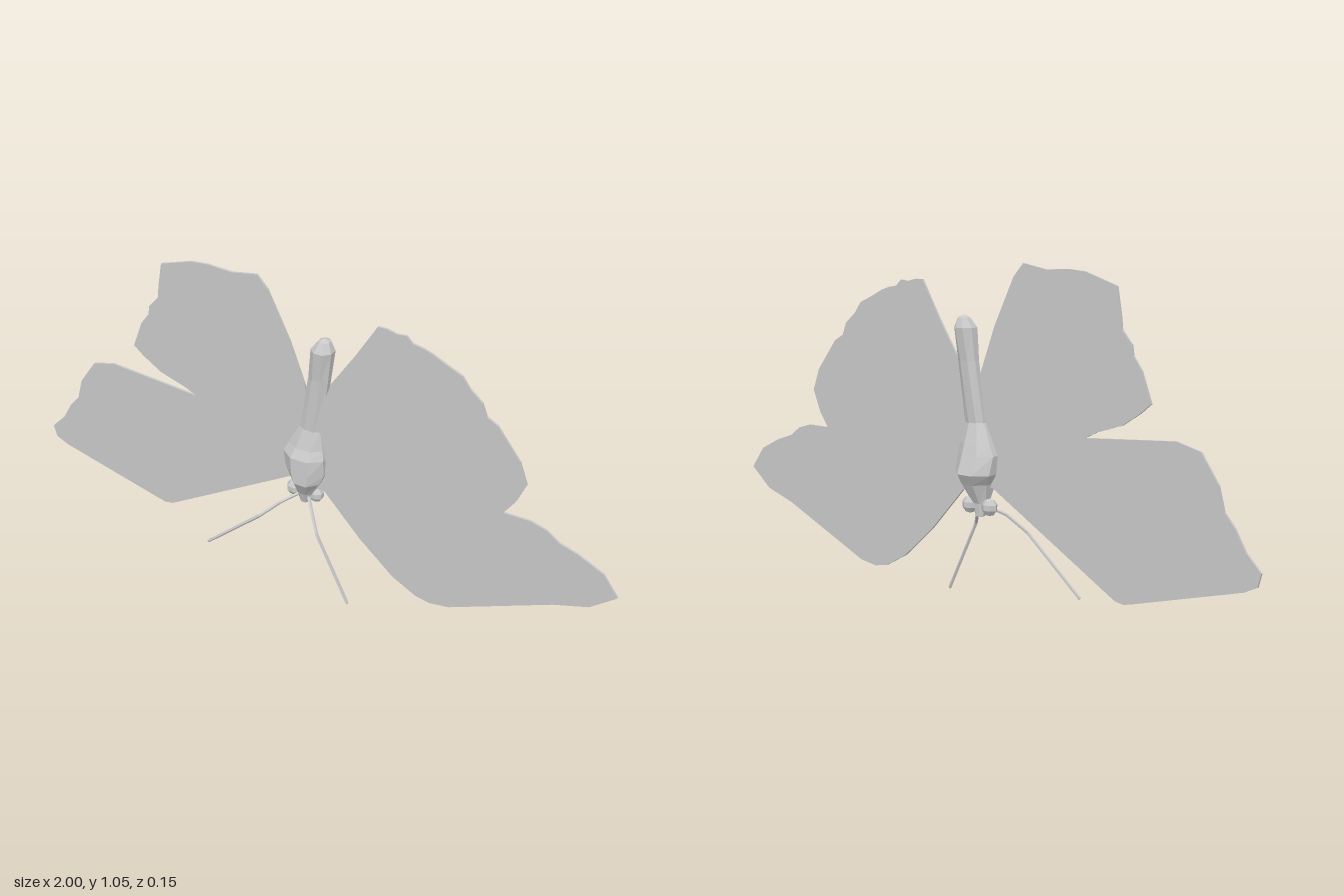
import * as THREE from 'three';

const grey = new THREE.MeshStandardMaterial({ color: 0xc9c9c9, flatShading: true });
grey.name = 'lightGrey';

// Wing outlines as [x, y], starting at the body
const rightWing = [
  [-0.02, 0.35], [-0.07, 0.37], [-0.53, 0.10], [-0.56, 0.095], [-0.60, 0.105], [-0.95, 0.20], [-0.99, 0.22],
  [-1.0, 0.26], [-0.95, 0.31], [-0.915, 0.37], [-0.88, 0.41], [-0.86, 0.48], [-0.80, 0.565],
  [-0.72, 0.585], [-0.41, 0.56], [-0.45, 0.58], [-0.54, 0.61], [-0.60, 0.65], [-0.635, 0.68],
  [-0.60, 0.77], [-0.57, 0.81], [-0.565, 0.84], [-0.53, 0.88], [-0.525, 0.92], [-0.51, 1.0],
  [-0.40, 1.035], [-0.34, 1.04], [-0.26, 1.035], [-0.175, 1.05], [-0.14, 1.01], [-0.07, 0.86],
  [-0.02, 0.72], [0.0, 0.6],
];
const leftWing = [
  [-0.02, 0.35], [0.045, 0.35], [0.17, 0.21], [0.285, 0.105], [0.365, 0.06], [0.415, 0.05], [0.48, 0.06],
  [0.81, 0.205], [0.92, 0.24], [1.0, 0.305], [0.95, 0.375], [0.87, 0.415], [0.81, 0.435], [0.77, 0.465],
  [0.72, 0.48], [0.635, 0.48], [0.67, 0.53], [0.70, 0.60], [0.675, 0.67], [0.615, 0.75],
  [0.60, 0.77], [0.565, 0.79], [0.55, 0.83], [0.51, 0.865], [0.485, 0.90], [0.43, 0.925],
  [0.39, 0.945], [0.36, 0.955], [0.33, 0.96], [0.31, 0.98], [0.28, 0.977], [0.25, 0.985], [0.22, 0.985],
  [0.15, 0.87], [0.07, 0.75], [0.045, 0.68], [0.0, 0.6],
];

// Thin plate, leaning forward slightly towards the top
function wing(outline) {
  const shape = new THREE.Shape(outline.map(([x, y]) => new THREE.Vector2(x, y)));
  const geo = new THREE.ExtrudeGeometry(shape, { depth: 0.007, bevelEnabled: false });
  const p = geo.attributes.position;
  for (let i = 0; i < p.count; i++) p.setZ(i, p.getZ(i) - 0.0115 + 0.018 * p.getY(i));
  geo.computeVertexNormals();
  return geo;
}

// Closed faceted skin over rings given as [y, centre x, radius x, centre z, radius z]
function loft(rings, sides) {
  const point = ([y, cx, rx, cz, rz], j) => {
    const a = ((j + 0.5) / sides) * Math.PI * 2;
    return [cx + rx * Math.cos(a), y, cz + rz * Math.sin(a)];
  };
  const v = [];
  for (let i = 0; i < rings.length - 1; i++) {
    for (let j = 0; j < sides; j++) {
      const a = point(rings[i], j), b = point(rings[i], j + 1);
      const c = point(rings[i + 1], j), d = point(rings[i + 1], j + 1);
      v.push(...a, ...c, ...b, ...b, ...c, ...d);
    }
  }
  const geo = new THREE.BufferGeometry();
  geo.setAttribute('position', new THREE.Float32BufferAttribute(v, 3));
  geo.computeVertexNormals();
  return geo;
}

export function createModel() {
  const model = new THREE.Group();
  const add = (name, geo, x = 0, y = 0, z = 0) => {
    const mesh = new THREE.Mesh(geo, grey);
    mesh.name = name;
    mesh.position.set(x, y, z);
    model.add(mesh);
    return mesh;
  };

  add('rightWing', wing(rightWing));
  add('leftWing', wing(leftWing));

  // Thorax, humped at the back and narrowing to the neck
  add('thorax', loft([
    [0.277, -0.032, 0.001, -0.015, 0.001],
    [0.28, -0.032, 0.015, -0.015, 0.014],
    [0.32, -0.028, 0.028, -0.009, 0.022],
    [0.38, -0.015, 0.054, -0.004, 0.058],
    [0.412, -0.018, 0.072, -0.013, 0.067],
    [0.47, -0.02, 0.075, -0.003, 0.055],
    [0.5, -0.016, 0.064, -0.006, 0.041],
    [0.565, -0.006, 0.04, -0.003, 0.018],
    [0.565, -0.006, 0.001, -0.003, 0.001],
  ], 8));

  // Long abdomen, swelling at the tip
  add('abdomen', loft([
    [0.55, -0.006, 0.001, -0.003, 0.001],
    [0.55, -0.006, 0.039, -0.003, 0.018],
    [0.75, 0.025, 0.036, -0.003, 0.025],
    [0.85, 0.036, 0.037, -0.003, 0.036],
    [0.88, 0.04, 0.019, -0.006, 0.02],
    [0.888, 0.04, 0.001, -0.006, 0.001],
  ], 8));

  // Eyes on either side of the head
  for (const [name, x] of [['rightEye', -0.073], ['leftEye', 0.004]]) {
    add(name, new THREE.SphereGeometry(0.027, 7, 5), x, 0.313, -0.021).scale.set(1, 1, 0.85);
  }

  // Antennae bend forward, then run down and outward
  const antennae = {
    rightAntenna: [[-0.045, 0.31, -0.005], [-0.09, 0.285, 0.035], [-0.15, 0.23, 0.068], [-0.345, 0.06, 0.07]],
    leftAntenna: [[-0.015, 0.31, -0.005], [0.02, 0.28, 0.035], [0.055, 0.23, 0.068], [0.165, 0.005, 0.07]],
  };
  for (const [name, points] of Object.entries(antennae)) {
    const path = new THREE.CurvePath();
    const pts = points.map((p) => new THREE.Vector3(...p));
    for (let i = 1; i < pts.length; i++) path.add(new THREE.LineCurve3(pts[i - 1], pts[i]));
    add(name, new THREE.TubeGeometry(path, 24, 0.0055, 5));
    add(name + 'Tip', new THREE.SphereGeometry(0.005, 5, 4), ...points[3]);
  }

  return model;
}
